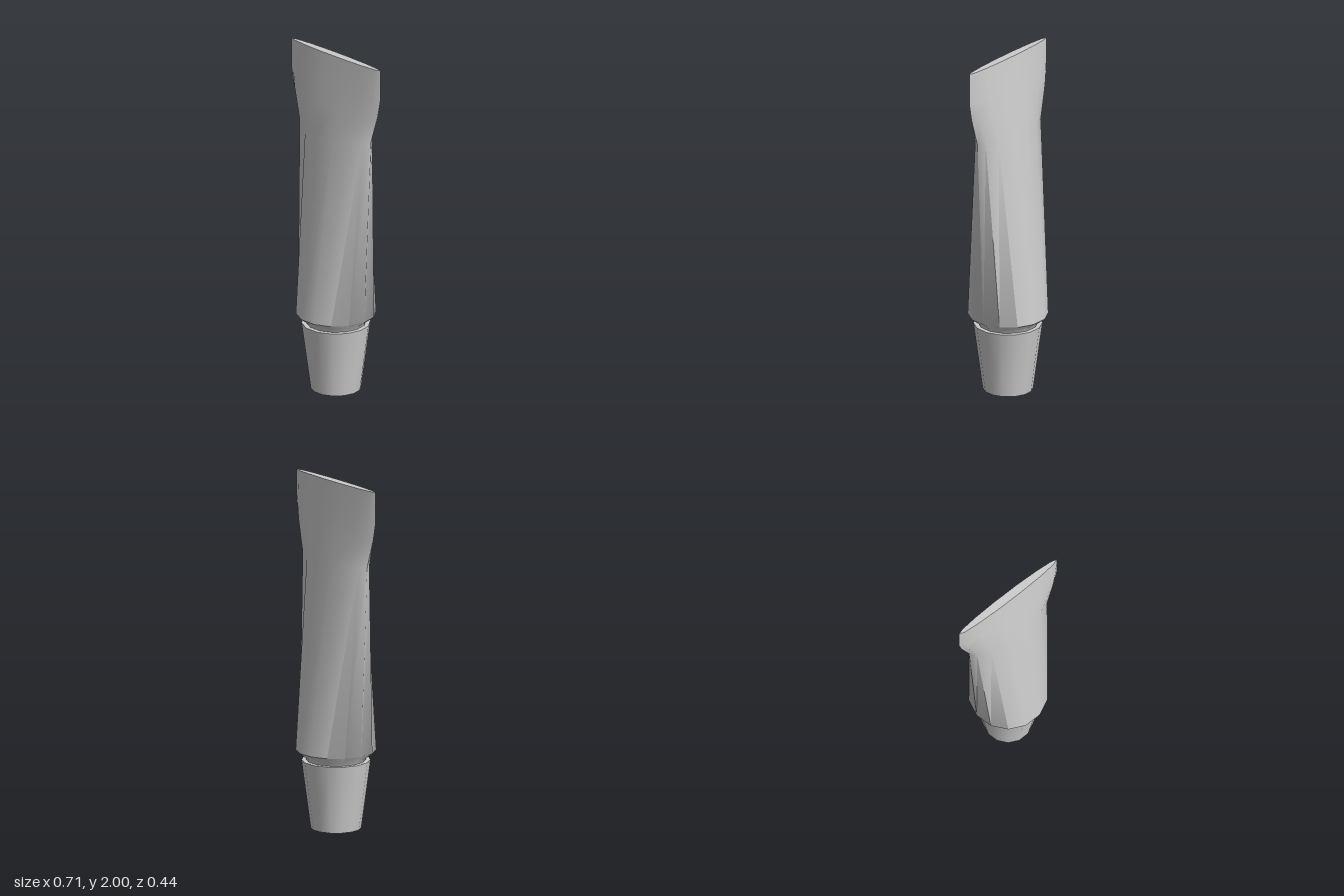
import * as THREE from 'three';
import { toCreasedNormals } from 'three/addons/utils/BufferGeometryUtils.js';

const SIDES = 14;

// Closed loft through elliptical rings [y, halfWidthX, halfDepthZ], listed bottom to top.
function loft(name, rings, crease) {
  const last = rings.length - 1;
  // Turned by half a side so that corners lie on the x axis
  const geometry = new THREE.CylinderGeometry(1, 1, last, SIDES, last, false, Math.PI / SIDES);
  const p = geometry.attributes.position;
  for (let i = 0; i < p.count; i++) {
    const [y, rx, rz] = rings[Math.round(p.getY(i) + last / 2)];
    p.setXYZ(i, p.getX(i) * rx, y, p.getZ(i) * rz);
  }
  const material = new THREE.MeshStandardMaterial({ color: 0xcccccc });
  const mesh = new THREE.Mesh(toCreasedNormals(geometry, crease), material);
  mesh.name = name;
  return mesh;
}

export function createModel() {
  const group = new THREE.Group();
  group.name = 'squeezeTube';

  // Tapered screw cap the tube stands on
  group.add(loft('cap', [
    [0, 0.142, 0.142],
    [0.393, 0.194, 0.194],
  ], 0.6));

  // Neck, shoulder and round body flattening into a wide crimped end
  group.add(loft('tubeBody', [
    [0.36, 0.165, 0.165],
    [0.405, 0.17, 0.17],
    [0.45, 0.226, 0.226],
    [1.55, 0.28, 0.087],
    [1.72, 0.335, 0.062],
    [1.82, 0.355, 0.048],
    [2, 0.355, 0.025],
  ], 0.95));

  return group;
}
